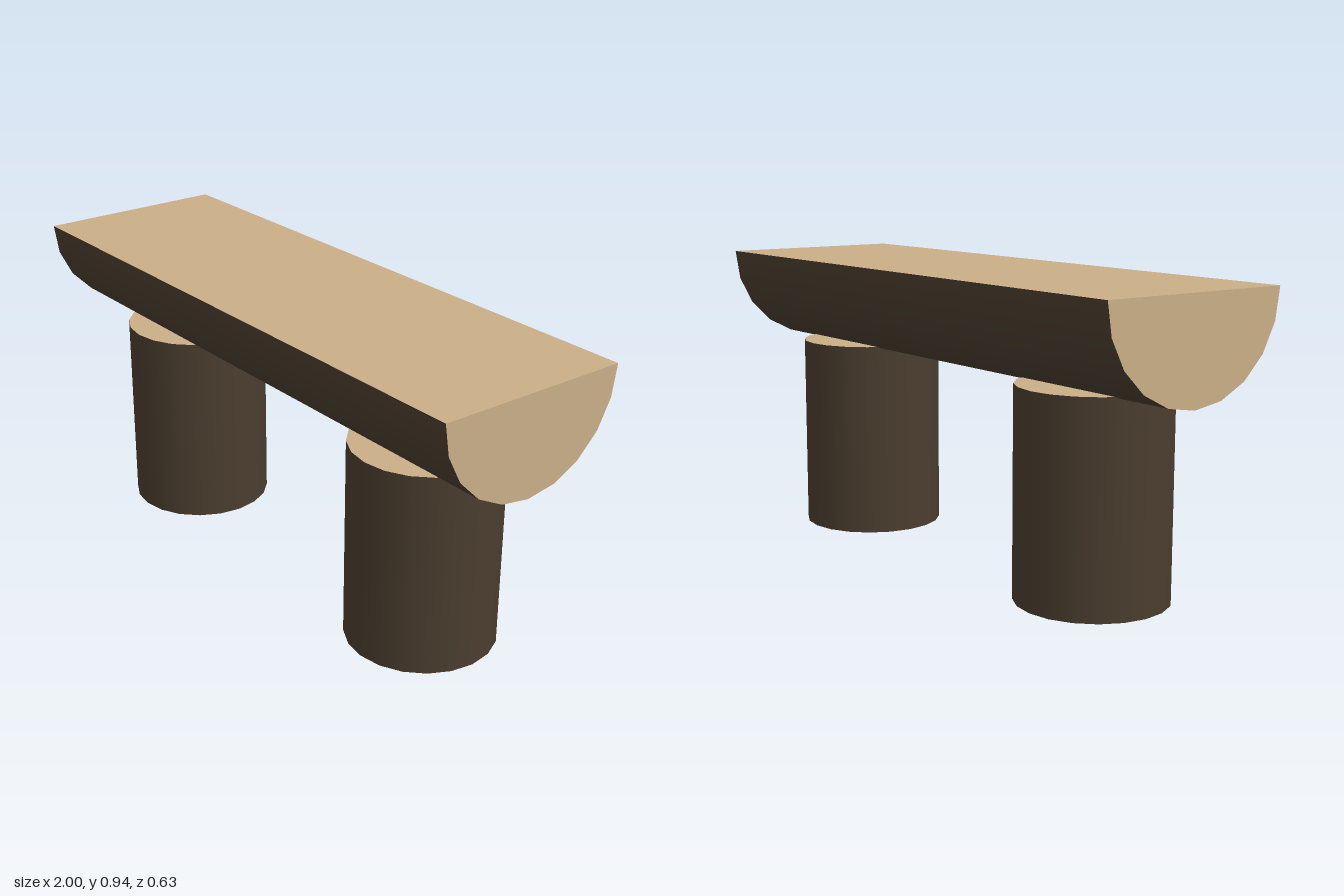
import * as THREE from 'three';

export function createModel() {
  const model = new THREE.Group();
  model.name = 'logBench';

  const bark = new THREE.MeshStandardMaterial({ color: 0x4a3d2e });
  bark.name = 'dark bark';
  const wood = new THREE.MeshStandardMaterial({ color: 0xcaae87 });
  wood.name = 'cut wood';
  const logMaterials = [bark, wood, wood]; // side, then both cut ends

  const seatRadius = 0.315, seatY = 0.94;
  const legRadius = 0.235, legHeight = 0.645, legX = 0.597;

  // Seat: half a log lying along x, round side down
  const seat = new THREE.Group();
  seat.name = 'seat';
  seat.position.y = seatY;
  model.add(seat);

  const halfLog = new THREE.CylinderGeometry(
    seatRadius, seatRadius, 2, 10, 1, false, Math.PI, Math.PI);
  halfLog.rotateZ(Math.PI / 2);
  const log = new THREE.Mesh(halfLog, logMaterials);
  log.name = 'halfLog';
  seat.add(log);

  // Flat sawn face that closes the half log
  const face = new THREE.PlaneGeometry(2, seatRadius * 2);
  face.rotateX(-Math.PI / 2);
  const seatTop = new THREE.Mesh(face, wood);
  seatTop.name = 'seatTop';
  seat.add(seatTop);

  // Legs: two upright log stumps
  const stump = new THREE.CylinderGeometry(legRadius, legRadius, legHeight, 20);
  for (const [name, side] of [['leftLeg', 1], ['rightLeg', -1]]) {
    const leg = new THREE.Mesh(stump, logMaterials);
    leg.name = name;
    leg.position.set(side * legX, legHeight / 2, 0);
    model.add(leg);
  }

  return model;
}
